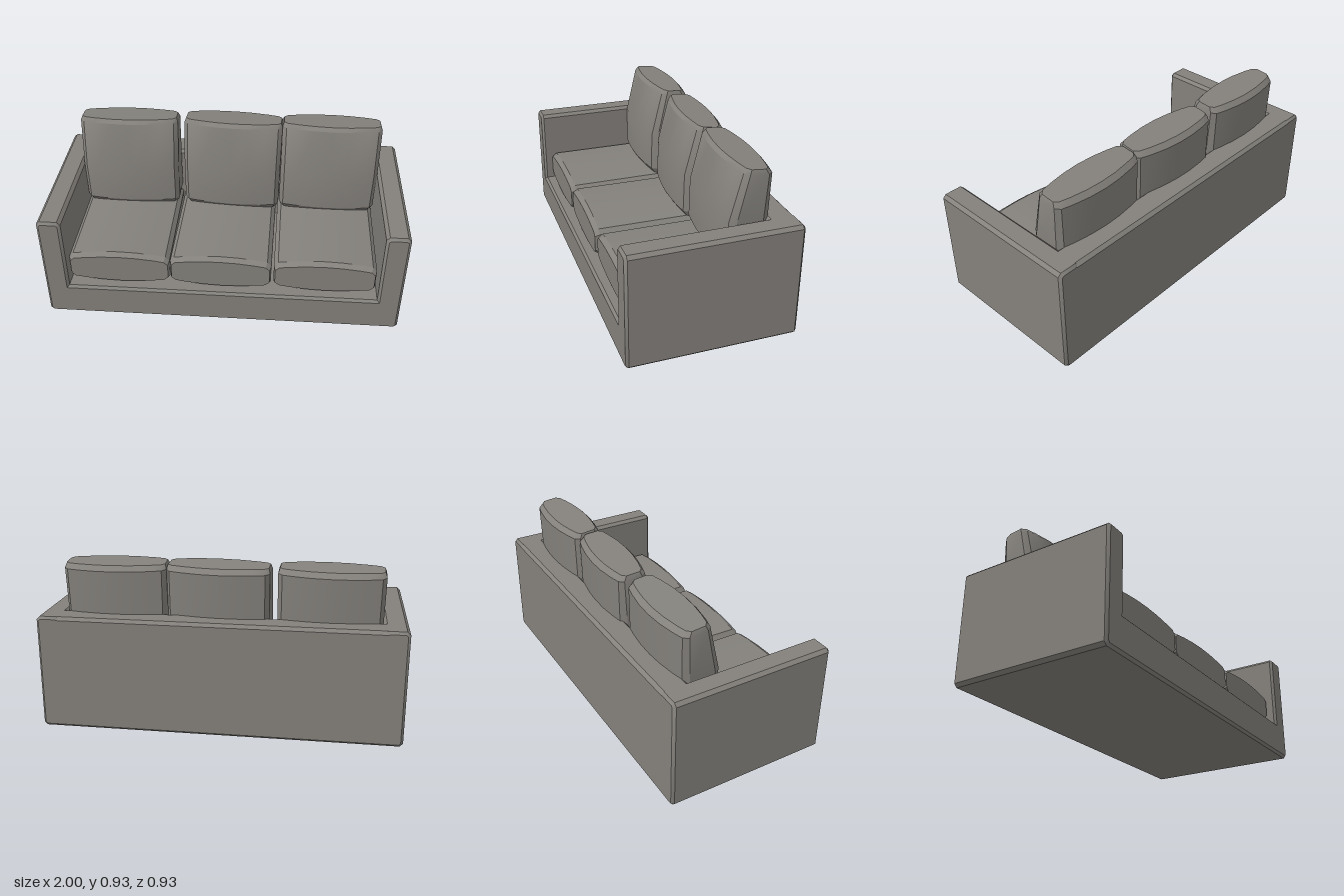
import * as THREE from 'three';
import { toCreasedNormals } from 'three/addons/utils/BufferGeometryUtils.js';

const BEVEL = 0.014;

// Extrude an outline along z between z0 and z1 with chamfered ends that stay inside the outline
function chamferedExtrude(points, z0, z1) {
  const shape = new THREE.Shape(points.map(([x, y]) => new THREE.Vector2(x, y)));
  const geo = new THREE.ExtrudeGeometry(shape, {
    depth: z1 - z0 - 2 * BEVEL,
    bevelEnabled: true, bevelSegments: 1,
    bevelSize: BEVEL, bevelThickness: BEVEL, bevelOffset: -BEVEL,
  });
  geo.translate(0, 0, z0 + BEVEL);
  return toCreasedNormals(geo, 0.6);
}

// Pillow section, counter-clockwise: thin at the sides (e) and thick in the middle (m)
function pillowSection(hw, e, m) {
  const us = [-0.92, -0.7, -0.35, 0, 0.35, 0.7, 0.92];
  const half = (u) => e + (m - e) * (1 - u * u);
  const bottom = [[-hw, -e * 0.72], ...us.map((u) => [u * hw, -half(u)]), [hw, -e * 0.72]];
  const top = bottom.map(([x, t]) => [-x, -t]);
  return [...bottom, ...top];
}

// Loft pillow sections along z; station = [along, centre, halfWidth, edge, middle, tilt]
function pillow(stations) {
  const rings = stations.map(([a, c, hw, e, m, tilt = 0]) =>
    pillowSection(hw, e, m).map(([x, t]) => [x, c + t, a + tilt * t]));
  const pos = [];
  const tri = (...pts) => pts.forEach((p) => pos.push(...p));
  const n = rings[0].length;
  const last = rings.length - 1;
  const centre = (i) => [0, stations[i][1], stations[i][0]];
  for (let j = 0; j < n; j++) {
    const k = (j + 1) % n;
    for (let i = 0; i < last; i++) {
      const a = rings[i], b = rings[i + 1];
      tri(a[j], a[k], b[k]);
      tri(a[j], b[k], b[j]);
    }
    tri(centre(0), rings[0][k], rings[0][j]);
    tri(centre(last), rings[last][j], rings[last][k]);
  }
  const geo = new THREE.BufferGeometry();
  geo.setAttribute('position', new THREE.Float32BufferAttribute(pos, 3));
  return toCreasedNormals(geo, 0.5);
}

export function createModel() {
  const model = new THREE.Group();
  model.name = 'sofa';
  const fabric = new THREE.MeshStandardMaterial({ color: 0x84817c });
  fabric.name = 'grey fabric';

  const add = (name, geo) => {
    const mesh = new THREE.Mesh(geo, fabric);
    mesh.name = name;
    model.add(mesh);
    return mesh;
  };

  // Base and both arms: one U-shaped outline with chamfered corners
  const H = 0.645, c = 0.018, inner = 0.868, seatY = 0.2;
  const rightHalf = [
    [1 - c, 0], [1, c], [1, H - c], [1 - c, H],
    [inner + c, H], [inner, H - c], [inner, seatY],
  ];
  const leftHalf = rightHalf.map(([x, y]) => [-x, y]).reverse();
  add('baseAndArms', chamferedExtrude([...rightHalf, ...leftHalf], -0.465, 0.465));

  // Back rest panel: side outline run across between the arms
  const backOutline = [
    [0.31, 0.1], [0.465 - c, 0], [0.465, c], [0.465, H - c],
    [0.465 - c, H], [0.31 + c, H], [0.31, H - c],
  ];
  const back = chamferedExtrude(backOutline, -0.97, 0.97);
  back.rotateY(Math.PI / 2);
  add('backPanel', back);

  // Three loose seat cushions with a softly rounded front
  const seatGeo = pillow([
    [-0.33, 0.302, 0.27, 0.06, 0.085],
    [-0.3, 0.302, 0.284, 0.075, 0.102],
    [0.385, 0.302, 0.284, 0.075, 0.102],
    [0.412, 0.3, 0.276, 0.06, 0.085],
  ]);
  [-0.582, -0.005, 0.575].forEach((x, i) => {
    const seat = add(`seatCushion${i + 1}`, seatGeo);
    seat.position.x = x;
    seat.rotation.y = [0, -0.015, -0.01][i];
  });

  // Three back cushions, leaning back and thinning towards the top
  const backGeo = pillow([
    [0.385, 0.218, 0.27, 0.075, 0.105],
    [0.42, 0.218, 0.281, 0.1, 0.128],
    [0.645, 0.222, 0.283, 0.1, 0.135],
    [0.897, 0.256, 0.285, 0.07, 0.11, -0.12],
    [0.922, 0.253, 0.276, 0.052, 0.088, -0.1],
  ]);
  backGeo.rotateX(-Math.PI / 2);
  [-0.585, 0.008, 0.585].forEach((x, i) => {
    const cushion = add(`backCushion${i + 1}`, backGeo);
    cushion.position.x = x;
    cushion.rotation.set(0, [0, -0.05, 0][i], [0.012, 0, -0.012][i]);
    cushion.position.x += [0.008, 0, -0.008][i];
  });

  return model;
}
